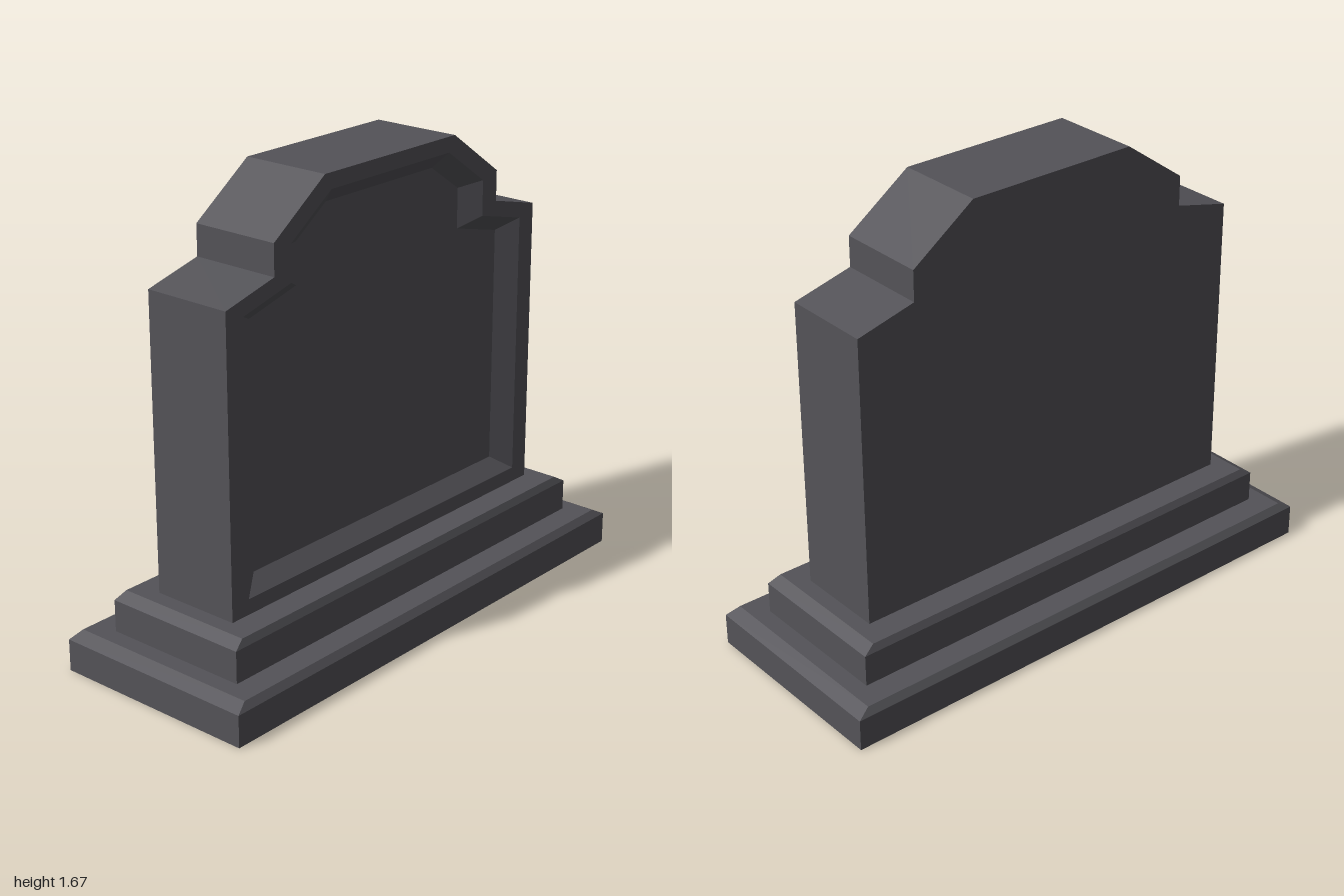
import * as THREE from 'three';

// Joins counter-clockwise outlines (arrays of [x, y]) at increasing steps along z, closing both ends.
function loft(rings) {
  const pos = [];
  const n = rings[0].outline.length;
  const put = (ring, i) => pos.push(ring.outline[i % n][0], ring.outline[i % n][1], ring.z);
  for (let r = 0; r < rings.length - 1; r++) {
    const a = rings[r], b = rings[r + 1];
    for (let i = 0; i < n; i++) {
      put(a, i); put(a, i + 1); put(b, i + 1);
      put(a, i); put(b, i + 1); put(b, i);
    }
  }
  const cap = (ring, flip) => {
    const pts = ring.outline.map(([x, y]) => new THREE.Vector2(x, y));
    for (const [a, b, c] of THREE.ShapeUtils.triangulateShape(pts, [])) {
      for (const i of flip ? [a, c, b] : [a, b, c]) put(ring, i);
    }
  };
  cap(rings[0], true);
  cap(rings[rings.length - 1], false);
  const geo = new THREE.BufferGeometry();
  geo.setAttribute('position', new THREE.Float32BufferAttribute(pos, 3));
  geo.computeVertexNormals();
  return geo;
}

// Right half listed bottom to top, mirrored to the left
const mirrored = (half) => [...half, ...half.map(([x, y]) => [-x, y]).reverse()];
const rect = (x, z) => mirrored([[x, -z], [x, z]]);

export function createModel() {
  const group = new THREE.Group();
  const stone = new THREE.MeshStandardMaterial({ color: 0x545358 });
  stone.name = 'darkStone';

  const add = (name, geo) => {
    const mesh = new THREE.Mesh(geo, stone);
    mesh.name = name;
    group.add(mesh);
  };

  // Plinth steps with chamfered top edges
  const step = (name, x, z, y0, y1, y2) => {
    const top = rect(x * 0.952, z * 0.952);
    const geo = loft([
      { outline: rect(x, z), z: y0 },
      { outline: rect(x, z), z: y1 },
      { outline: top, z: y2 },
    ]);
    add(name, geo.rotateX(-Math.PI / 2));
  };
  step('lowerStep', 1, 0.388, 0, 0.115, 0.14);
  step('upperStep', 0.89, 0.277, 0.14, 0.255, 0.28);

  // Shouldered slab with a flat rim and a bevelled recess in the front
  const outer = mirrored([[0.79, 0.28], [0.79, 1.335], [0.57, 1.39], [0.57, 1.5], [0.33, 1.67]]);
  const inner = mirrored([[0.635, 0.39], [0.635, 1.26], [0.415, 1.315], [0.415, 1.46], [0.27, 1.56]]);
  const middle = outer.map(([x, y], i) => [(x + inner[i][0]) / 2, (y + inner[i][1]) / 2]);
  add('slab', loft([
    { outline: outer, z: -0.167 },
    { outline: outer, z: 0.167 },
    { outline: middle, z: 0.167 },
    { outline: inner, z: 0.117 },
  ]));

  return group;
}
